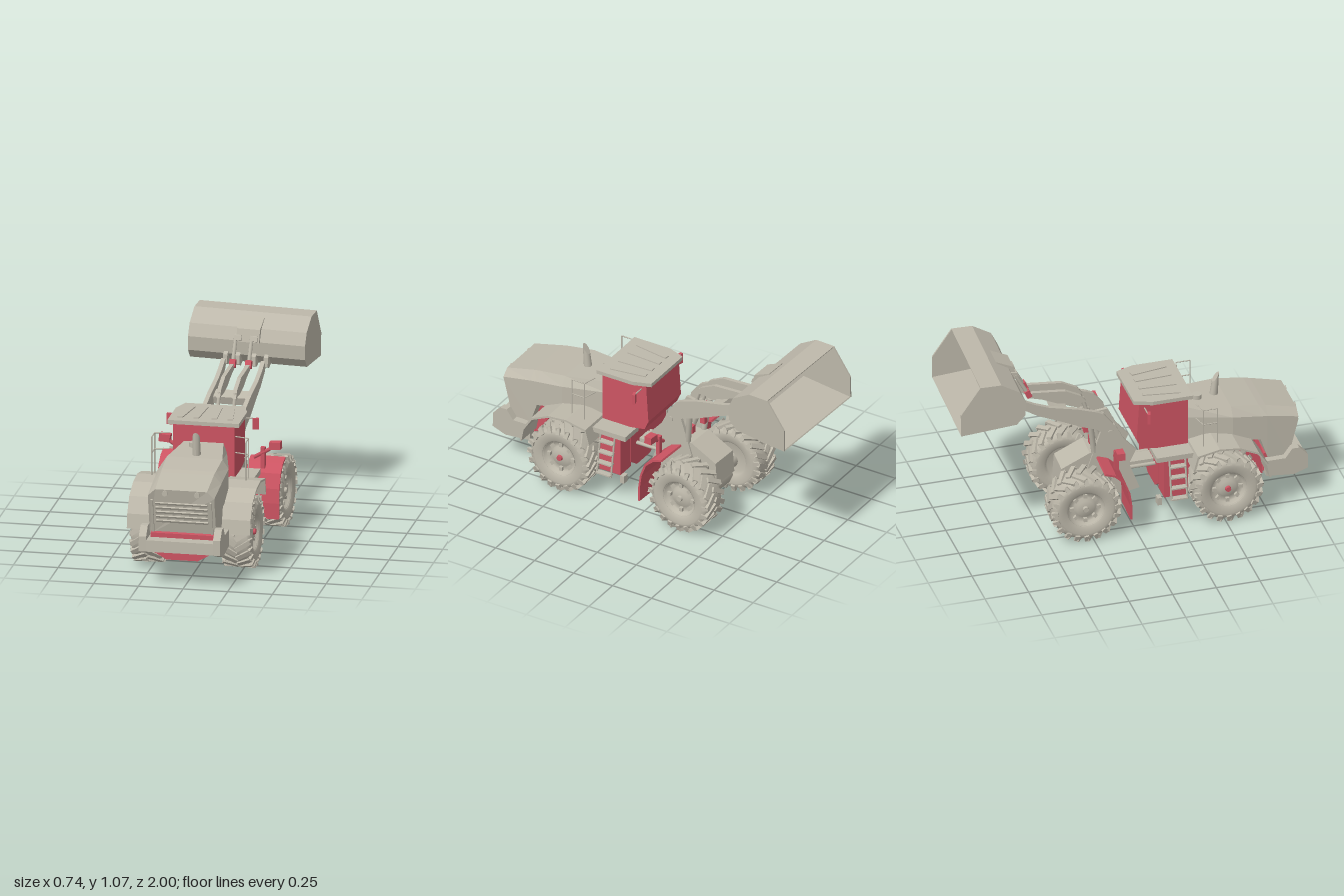
import * as THREE from 'three';
import { mergeGeometries } from 'three/addons/utils/BufferGeometryUtils.js';

const grey = new THREE.MeshStandardMaterial({ color: 0xbdb8aa });
grey.name = 'warm grey paint';
const red = new THREE.MeshStandardMaterial({ color: 0xcc5462 });
red.name = 'red paint';

function add(parent, name, geo, mat, pos = [0, 0, 0], rot = [0, 0, 0]) {
  const m = new THREE.Mesh(geo, mat);
  m.name = name;
  m.position.set(...pos);
  m.rotation.set(...rot);
  parent.add(m);
  return m;
}
const box = (w, h, d) => new THREE.BoxGeometry(w, h, d);

// side profile of [z, y] points, extruded from x0 to x1
function side(points, x0, x1) {
  const shape = new THREE.Shape(points.map(([z, y]) => new THREE.Vector2(z, y)));
  return new THREE.ExtrudeGeometry(shape, { depth: x1 - x0, bevelEnabled: false })
    .rotateY(-Math.PI / 2).translate(x1, 0, 0);
}
// curved sheet: outer line plus the same line pulled towards a centre
function band(points, [cz, cy], k, x0, x1) {
  const inner = points.map(([z, y]) => [cz + (z - cz) * k, cy + (y - cy) * k]).reverse();
  return side([...points, ...inner], x0, x1);
}
// straight bar between two points
function rod(parent, name, a, b, r, mat, seg = 8) {
  const va = new THREE.Vector3(...a), d = new THREE.Vector3(...b).sub(va);
  const m = add(parent, name, new THREE.CylinderGeometry(r, r, d.length(), seg), mat);
  m.position.copy(va).addScaledVector(d, 0.5);
  m.quaternion.setFromUnitVectors(new THREE.Vector3(0, 1, 0), d.normalize());
}
// flat-shaded skin through closed loops that advance along +z
function loft(loops) {
  const p = [], n = loops[0].length, last = loops.length - 1;
  for (let i = 0; i < last; i++) for (let j = 0; j < n; j++) {
    const k = (j + 1) % n, [a, b, c, d] = [loops[i][j], loops[i][k], loops[i + 1][k], loops[i + 1][j]];
    p.push(...a, ...b, ...c, ...a, ...c, ...d);
  }
  for (let j = 1; j < n - 1; j++) {
    p.push(...loops[last][0], ...loops[last][j], ...loops[last][j + 1]);
    p.push(...loops[0][0], ...loops[0][j + 1], ...loops[0][j]);
  }
  const g = new THREE.BufferGeometry();
  g.setAttribute('position', new THREE.Float32BufferAttribute(p, 3));
  g.computeVertexNormals();
  return g;
}
const lathe = (pts, seg) => new THREE.LatheGeometry(pts.map(([r, a]) => new THREE.Vector2(r, a)), seg).rotateZ(-Math.PI / 2);

function makeWheel(capMat) {
  const w = new THREE.Group();
  w.name = 'wheel';
  add(w, 'tyre', lathe([[0.1, -0.07], [0.115, -0.08], [0.15, -0.086], [0.174, -0.08], [0.186, -0.06], [0.188, 0],
    [0.186, 0.06], [0.174, 0.08], [0.15, 0.086], [0.115, 0.08], [0.1, 0.07]], 40), grey);
  // staggered chevron lugs with shoulder blocks
  const lugs = [], count = 20;
  for (let i = 0; i < count; i++) for (const s of [-1, 1]) {
    const angle = ((i + (s > 0 ? 0.5 : 0)) / count) * Math.PI * 2;
    const tread = box(0.095, 0.018, 0.026).rotateY(s * 0.6).translate(s * 0.04, 0.189, 0);
    const shoulder = box(0.016, 0.036, 0.026).rotateZ(s * 0.35).translate(s * 0.079, 0.175, -0.026);
    lugs.push(tread.rotateX(angle), shoulder.rotateX(angle));
  }
  add(w, 'tyreLugs', mergeGeometries(lugs), grey);
  // dished rim, hub and bolts
  add(w, 'rim', lathe([[0, -0.05], [0.09, -0.05], [0.106, -0.074], [0.112, -0.074], [0.112, 0.074],
    [0.104, 0.074], [0.092, 0.045], [0.06, 0.04], [0.048, 0.062], [0, 0.062]], 28), grey);
  add(w, 'hubCap', new THREE.CylinderGeometry(0.015, 0.018, 0.016, 12), capMat, [0.068, 0, 0], [0, 0, -Math.PI / 2]);
  for (let i = 0; i < 8; i++) {
    const t = (i / 8) * Math.PI * 2;
    add(w, 'rimBlock', box(0.022, 0.022, 0.02), grey, [0.048, Math.cos(t) * 0.076, Math.sin(t) * 0.076], [t, 0, 0]);
  }
  return w;
}
function addAxle(parent, z, capMat) {
  add(parent, 'axle', new THREE.CylinderGeometry(0.05, 0.05, 0.36, 12), grey, [0, 0.197, z], [0, 0, Math.PI / 2]);
  add(parent, 'differential', new THREE.CylinderGeometry(0.075, 0.075, 0.19, 8), grey, [0, 0.165, z], [0, 0, Math.PI / 2]);
  for (const s of [-1, 1]) {
    const w = makeWheel(capMat);
    w.position.set(s * 0.253, 0.2, z);
    if (s < 0) w.rotation.y = Math.PI;
    parent.add(w);
  }
}

function makeRear() {
  const g = new THREE.Group();
  g.name = 'rearBody';
  g.position.x = -0.02;
  addAxle(g, 0.515, red);
  // chassis with a sloped belly
  const hull = (w, y1, z) => [[-w, 0.19, z], [-w * 0.5, 0.14, z], [w * 0.5, 0.14, z], [w, 0.19, z], [w, y1, z], [-w, y1, z]];
  add(g, 'chassis', loft([hull(0.14, 0.43, 0.17), hull(0.148, 0.43, 0.72), hull(0.175, 0.3, 0.76), hull(0.175, 0.29, 0.93)]), red);
  // engine hood
  const hoodLoop = (z, w, y0, ys, wt, yt, zb = z) =>
    [[-w, y0, zb], [w, y0, zb], [w, ys, z], [wt, yt, z], [-wt, yt, z], [-w, ys, z]];
  add(g, 'hood', loft([hoodLoop(0.33, 0.13, 0.42, 0.58, 0.11, 0.637), hoodLoop(0.58, 0.19, 0.43, 0.57, 0.155, 0.622),
    hoodLoop(0.74, 0.19, 0.4, 0.55, 0.15, 0.6), hoodLoop(0.78, 0.19, 0.28, 0.545, 0.148, 0.592),
    hoodLoop(0.957, 0.186, 0.27, 0.51, 0.145, 0.548, 0.897)]), grey);
  // grille slats and lamps on the sloped back
  const lean = Math.atan(0.25), backZ = (y) => 0.897 + (y - 0.27) * 0.25;
  for (let i = 0; i < 5; i++) {
    const y = 0.358 + i * 0.027;
    add(g, 'grilleSlat', box(0.29, 0.013, 0.009), grey, [0, y, backZ(y) + 0.004], [lean + 0.3, 0, 0]);
  }
  for (const s of [-1, 1]) {
    add(g, 'grilleFrame', box(0.012, 0.2, 0.014), grey, [s * 0.165, 0.39, backZ(0.39) + 0.004], [lean, 0, 0]);
    add(g, 'rearLamp', new THREE.CylinderGeometry(0.016, 0.016, 0.02, 8), grey, [s * 0.09, 0.528, 0.957], [Math.PI / 2, 0, 0]);
  }
  // counterweight bumper
  add(g, 'counterweight', side([[0.86, 0.18], [0.93, 0.18], [1, 0.2], [0.998, 0.265], [0.86, 0.265]], -0.228, 0.228), grey);
  // exhaust with slanted mouth, and air intake
  const pipe = new THREE.CylinderGeometry(0.02, 0.024, 0.15, 14), pp = pipe.attributes.position;
  for (let i = 0; i < pp.count; i++) if (pp.getY(i) > 0) pp.setXYZ(i, pp.getX(i), pp.getY(i) - 0.025 + pp.getZ(i) * 1.4, pp.getZ(i) + 0.012);
  pipe.computeVertexNormals();
  add(g, 'exhaust', pipe, grey, [0, 0.68, 0.525]);
  add(g, 'airIntake', new THREE.CylinderGeometry(0.027, 0.027, 0.025, 14), grey, [-0.037, 0.65, 0.42]);
  add(g, 'airIntakeNeck', new THREE.CylinderGeometry(0.016, 0.016, 0.04, 10), grey, [-0.037, 0.63, 0.42]);
  // cab and slotted roof
  add(g, 'cab', side([[0.33, 0.44], [0.33, 0.745], [0.05, 0.745], [0.035, 0.51], [0.06, 0.455], [0.15, 0.44]], -0.172, 0.172), red);
  const roof = new THREE.Shape([[-0.2, -0.35], [0.2, -0.35], [0.2, -0.12], [0.165, -0.02], [-0.165, -0.02], [-0.2, -0.12]]
    .map((p) => new THREE.Vector2(...p)));
  add(g, 'roof', new THREE.ExtrudeGeometry(roof, { depth: 0.022, bevelEnabled: false }).rotateX(-Math.PI / 2), grey, [0, 0.736, 0]);
  for (const x of [-0.125, -0.045, 0.045, 0.125])
    add(g, 'roofRib', box(0.03, 0.008, 0.21), grey, [x, 0.76, 0.19], [0, x * 1.2, 0]);

  const wheelC = [0.515, 0.197];
  const arch = [[0.755, 0.25], [0.74, 0.33], [0.685, 0.415], [0.575, 0.465], [0.46, 0.476], [0.335, 0.452], [0.31, 0.36]];
  for (const s of [-1, 1]) {
    const h = new THREE.Group();
    h.name = s > 0 ? 'leftSide' : 'rightSide';
    g.add(h);
    const span = (a, b) => (s > 0 ? [a, b] : [-b, -a]);
    add(h, 'rearFender', band(arch, wheelC, 0.96, ...span(0.15, 0.345)), grey);
    add(h, 'wheelArch', band([[0.758, 0.18], ...arch].map(([z, y]) => [wheelC[0] + (z - wheelC[0]) * 0.97, wheelC[1] + (y - wheelC[1]) * 0.97]),
      wheelC, 0.8, ...span(0.14, 0.185)), red);
    add(h, 'counterweightWing', side([[0.76, 0.185], [0.92, 0.17], [1, 0.2], [0.998, 0.285], [0.95, 0.335], [0.91, 0.335],
      [0.87, 0.28], [0.76, 0.28]], ...span(0.187, 0.228)), grey);
    // side tank, deck and ladder
    add(h, 'sideTank', box(0.11, 0.26, 0.135), red, [s * 0.185, 0.287, 0.24]);
    add(h, 'deck', box(0.14, 0.03, 0.23), grey, [s * 0.205, 0.422, 0.235]);
    for (const z of [0.195, 0.285]) rod(h, 'ladderRail', [s * 0.265, 0.41, z], [s * 0.305, 0.17, z], 0.006, grey, 6);
    for (let i = 0; i < 4; i++) add(h, 'ladderStep', box(0.035, 0.008, 0.09), grey, [s * (0.302 - i * 0.01), 0.18 + i * 0.062, 0.24]);
    add(h, 'lowerStep', box(0.04, 0.045, 0.025), grey, [s * 0.27, 0.167, 0.133]);
    // handrail
    const x = s * 0.263;
    for (const z of [0.39, 0.47]) rod(h, 'handrailPost', [x, 0.46, z], [x, 0.692, z], 0.0035, grey, 6);
    for (const y of [0.6, 0.692]) {
      rod(h, 'handrailBar', [x, y, 0.39], [x, y, 0.47], 0.0035, grey, 6);
      rod(h, 'handrailBar', [x, y, 0.39], [s * 0.185, y, 0.37], 0.0035, grey, 6);
    }
    // mirror
    add(h, 'mirror', box(0.034, 0.062, 0.016), red, [s * 0.24, 0.683, 0.085], [0, s * 0.3, 0]);
    rod(h, 'mirrorArm', [s * 0.17, 0.71, 0.08], [s * 0.24, 0.71, 0.08], 0.004, grey, 6);
    rod(h, 'steeringCylinder', [s * 0.07, 0.28, 0.19], [s * 0.07, 0.28, 0.02], 0.011, grey);
  }
  add(g, 'hinge', box(0.09, 0.03, 0.16), grey, [0, 0.28, 0.11]);
  return g;
}

function makeBucket() {
  const b = new THREE.Group();
  b.name = 'bucket';
  b.rotation.z = -0.015;
  const shell = [[-0.875, 1.06], [-0.757, 1.06], [-0.65, 0.998], [-0.617, 0.93], [-0.622, 0.85], [-0.67, 0.797], [-0.985, 0.768]];
  add(b, 'bucketShell', band(shell, [-0.87, 0.92], 0.965, -0.33, 0.33), grey);
  for (const s of [-1, 1])
    add(b, 'bucketCheek', side([...shell, [-0.985, 0.9]], s * 0.326 - 0.005, s * 0.326 + 0.005), grey);
  // back brackets
  add(b, 'centreBrace', side([[-0.6, 0.93], [-0.62, 1.0], [-0.72, 1.045], [-0.66, 0.92]], -0.055, 0.075), grey);
  for (const x of [-0.115, -0.045, 0.045, 0.115])
    add(b, 'bucketLug', side([[-0.595, 0.8], [-0.6, 0.85], [-0.635, 0.87], [-0.675, 0.8], [-0.63, 0.785]], x - 0.012, x + 0.012), grey);
  for (const s of [-1, 1])
    add(b, 'linkLug', side([[-0.59, 0.94], [-0.6, 0.965], [-0.64, 0.97], [-0.63, 0.92]], s * 0.045 - 0.02, s * 0.045 + 0.02), grey);
  return b;
}

function makeFront() {
  // steered slightly about the centre hinge
  const steer = new THREE.Group();
  steer.name = 'frontBody';
  steer.position.set(-0.02, 0, 0.1);
  steer.rotation.y = -0.045;
  const g = new THREE.Group();
  g.name = 'frontAssembly';
  g.position.z = -0.1;
  steer.add(g);
  addAxle(g, -0.28, grey);
  // frame block and tower plates
  add(g, 'frontFrame', side([[0.03, 0.17], [0.0, 0.3], [-0.03, 0.4], [-0.2, 0.41], [-0.36, 0.33], [-0.37, 0.2], [-0.3, 0.15], [-0.05, 0.14]], -0.085, 0.085), grey);
  const tower = [[0.08, 0.155], [0.02, 0.315], [0.06, 0.4], [-0.01, 0.48], [-0.06, 0.58], [-0.13, 0.57], [-0.18, 0.42], [-0.22, 0.3], [-0.03, 0.13]];
  const arm = [[-0.06, 0.53], [-0.075, 0.6], [-0.13, 0.67], [-0.17, 0.69], [-0.28, 0.725], [-0.44, 0.76], [-0.52, 0.79], [-0.6, 0.83],
    [-0.625, 0.815], [-0.59, 0.77], [-0.5, 0.715], [-0.38, 0.665], [-0.26, 0.61], [-0.17, 0.58], [-0.1, 0.52]];
  const crank = [[-0.21, 0.725], [-0.24, 0.765], [-0.33, 0.81], [-0.52, 0.825], [-0.55, 0.8], [-0.46, 0.775], [-0.38, 0.74], [-0.3, 0.725]];
  const fender = [[-0.175, 0.425], [-0.115, 0.405], [-0.065, 0.36], [-0.035, 0.28], [-0.024, 0.2], [-0.024, 0.11]];
  add(g, 'armCrossbar', box(0.21, 0.045, 0.075), grey, [0, 0.685, -0.36], [0.3, 0, 0]);
  rod(g, 'towerPin', [-0.13, 0.55, -0.09], [0.13, 0.55, -0.09], 0.016, grey, 10);
  for (const s of [-1, 1]) {
    const at = (x, w) => [s * x - w / 2, s * x + w / 2];
    add(g, 'towerPlate', side(tower, ...at(0.085, 0.018)), grey);
    add(g, 'liftArm', side(arm, ...at(0.112, 0.024)), grey);
    add(g, 'bellcrank', side(crank, ...at(0.045, 0.022)), grey);
    rod(g, 'bucketLink', [s * 0.045, 0.81, -0.535], [s * 0.045, 0.95, -0.61], 0.011, grey);
    add(g, 'linkClevis', box(0.034, 0.045, 0.03), red, [s * 0.045, 0.822, -0.54], [-0.45, 0, 0]);
    // lift and tilt cylinders
    rod(g, 'tiltCylinder', [s * 0.045, 0.4, -0.11], [s * 0.045, 0.62, -0.19], 0.018, grey, 10);
    rod(g, 'tiltPiston', [s * 0.045, 0.6, -0.185], [s * 0.045, 0.75, -0.235], 0.01, grey);
    rod(g, 'liftCylinder', [s * 0.075, 0.38, -0.17], [s * 0.1, 0.6, -0.2], 0.016, grey, 10);
    add(g, 'cylinderClevis', box(0.03, 0.045, 0.03), red, [s * 0.06, 0.485, -0.185]);
    // fender, lamp and bracket
    add(g, 'frontFender', band(fender, [-0.28, 0.197], 0.955, ...at(0.248, 0.195)), red);
    add(g, 'workLamp', box(0.062, 0.042, 0.045), red, [s * 0.312, 0.516, -0.085], [0, 0, s * 0.06]);
    rod(g, 'lampBracket', [s * 0.3, 0.505, -0.085], [s * 0.19, 0.44, -0.085], 0.011, red, 6);
    add(g, 'lampPost', box(0.025, 0.12, 0.025), red, [s * 0.24, 0.44, -0.09]);
  }
  g.add(makeBucket());
  return steer;
}

export function createModel() {
  const model = new THREE.Group();
  model.name = 'articulatedShovel';
  model.add(makeRear(), makeFront());
  return model;
}
